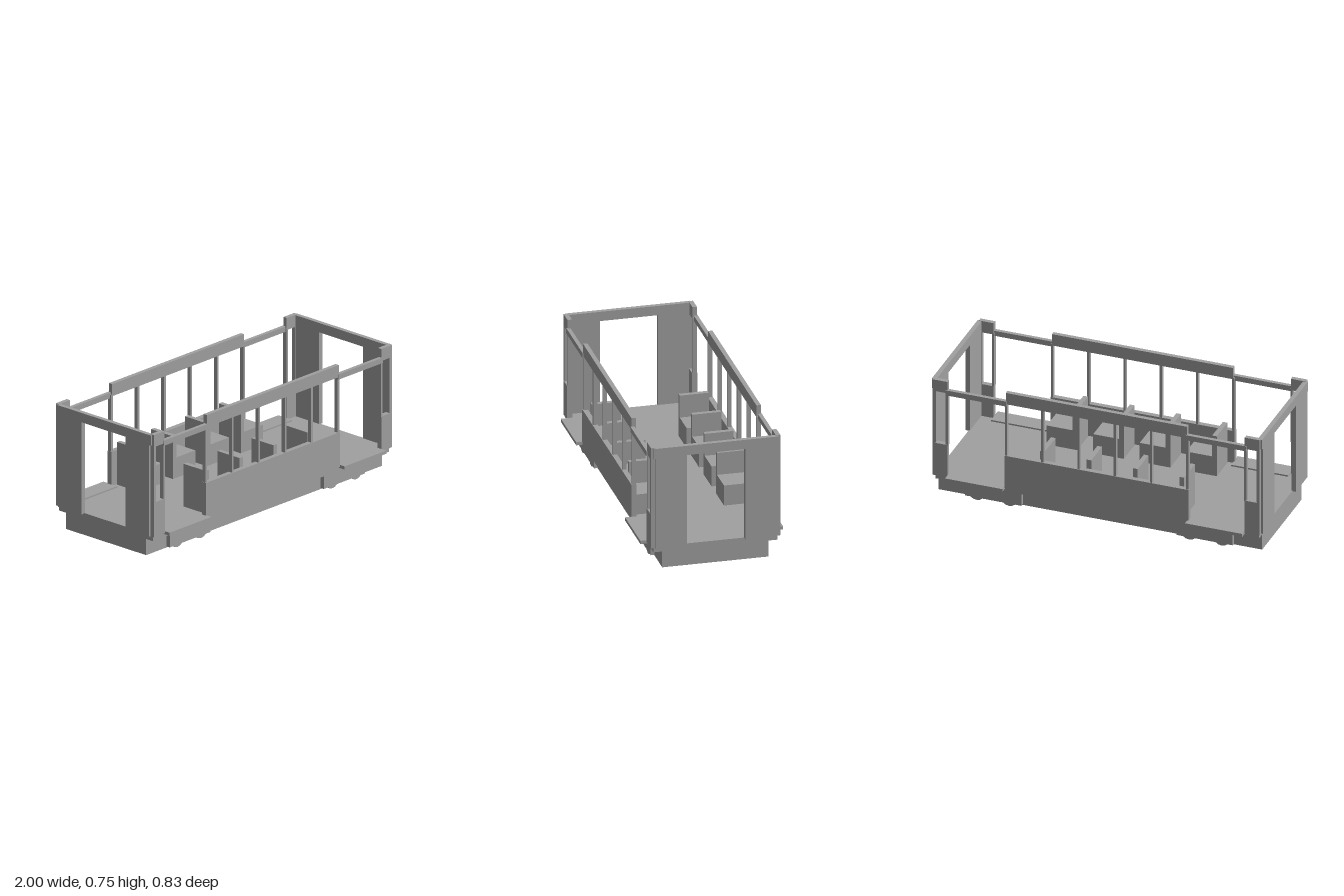
import * as THREE from 'three';

export function createModel() {
  const model = new THREE.Group();
  model.name = 'openTramCar';
  const grey = new THREE.MeshStandardMaterial({ color: 0xa0a0a0 });
  grey.name = 'plain grey';

  // Box given by its limits on each axis
  function box(name, x0, x1, y0, y1, z0, z1) {
    const mesh = new THREE.Mesh(new THREE.BoxGeometry(x1 - x0, y1 - y0, z1 - z0), grey);
    mesh.position.set((x0 + x1) / 2, (y0 + y1) / 2, (z0 + z1) / 2);
    mesh.name = name;
    model.add(mesh);
  }
  // Box on the side at s = 1 or -1, with z limits measured outwards
  const sideBox = (name, s, x0, x1, y0, y1, z0, z1) =>
    box(name, x0, x1, y0, y1, s > 0 ? z0 : -z1, s > 0 ? z1 : -z0);
  // Box at the end e = 1 or -1 of side s
  const cornerBox = (name, e, s, x0, x1, y0, y1, z0, z1) =>
    sideBox(name, s, e > 0 ? x0 : -x1, e > 0 ? x1 : -x0, y0, y1, z0, z1);

  // Chassis and floor
  box('underframe', -0.98, 0.98, 0.01, 0.11, -0.31, 0.31);
  box('floor', -0.98, 0.98, 0.108, 0.142, -0.362, 0.362);

  for (const s of [1, -1]) {
    // Middle of the side: panel, window posts and header
    sideBox('sidePanel', s, -0.56, 0.555, 0.138, 0.348, 0.35, 0.38);
    sideBox('sideHeader', s, -0.55, 0.547, 0.682, 0.755, 0.352, 0.378);
    for (let i = 0; i < 6; i++) {
      const x = -0.551 + i * 0.2195;
      sideBox('windowPost', s, x - 0.007, x + 0.007, 0.345, 0.69, 0.352, 0.376);
    }

    // Seats with backrests towards -x
    for (let i = 0; i < 4; i++) {
      const x = -0.52 + i * 0.2815;
      sideBox('seat', s, x + 0.02, x + 0.185, 0.14, 0.265, 0.172, 0.342);
      sideBox('seatBack', s, x, x + 0.028, 0.14, 0.4, 0.172, 0.342);
    }

    for (const e of [1, -1]) {
      // Doorway: rail above and step below
      cornerBox('doorRail', e, s, 0.54, 0.91, 0.67, 0.702, 0.36, 0.383);
      cornerBox('doorStep', e, s, 0.553, 0.9, 0.132, 0.151, 0.31, 0.417);

      // Corner: panel, narrow window posts and header
      cornerBox('cornerPanel', e, s, 0.9, 0.982, 0.138, 0.348, 0.35, 0.38);
      cornerBox('doorPost', e, s, 0.897, 0.911, 0.345, 0.69, 0.352, 0.378);
      cornerBox('cornerPost', e, s, 0.97, 0.99, 0.138, 0.69, 0.35, 0.378);
      cornerBox('cornerHeader', e, s, 0.9, 0.99, 0.682, 0.755, 0.352, 0.378);

      // Bogie side frame and its round wheel covers
      cornerBox('bogieFrame', e, s, 0.47, 0.81, 0.016, 0.1, 0.3, 0.334);
      for (const x of [0.545, 0.742]) {
        const wheel = new THREE.Mesh(new THREE.CylinderGeometry(0.052, 0.052, 0.046, 16), grey);
        wheel.rotation.x = Math.PI / 2;
        wheel.position.set(e * x, 0.052, s * 0.309);
        wheel.name = 'wheel';
        model.add(wheel);
      }
    }
  }

  // End walls with a tall central opening
  for (const e of [1, -1]) {
    const wall = new THREE.Shape([
      [-0.352, 0.138], [-0.17, 0.138], [-0.17, 0.695], [0.17, 0.695], [0.17, 0.138], [0.352, 0.138],
      [0.352, 0.69], [0.364, 0.69], [0.364, 0.752], [-0.364, 0.752], [-0.364, 0.69], [-0.352, 0.69],
    ].map(([z, y]) => new THREE.Vector2(z, y)));
    const mesh = new THREE.Mesh(
      new THREE.ExtrudeGeometry(wall, { depth: 0.027, bevelEnabled: false }), grey);
    mesh.rotation.y = Math.PI / 2;
    mesh.position.x = e > 0 ? 0.973 : -1;
    mesh.name = 'endWall';
    model.add(mesh);
  }
  return model;
}
